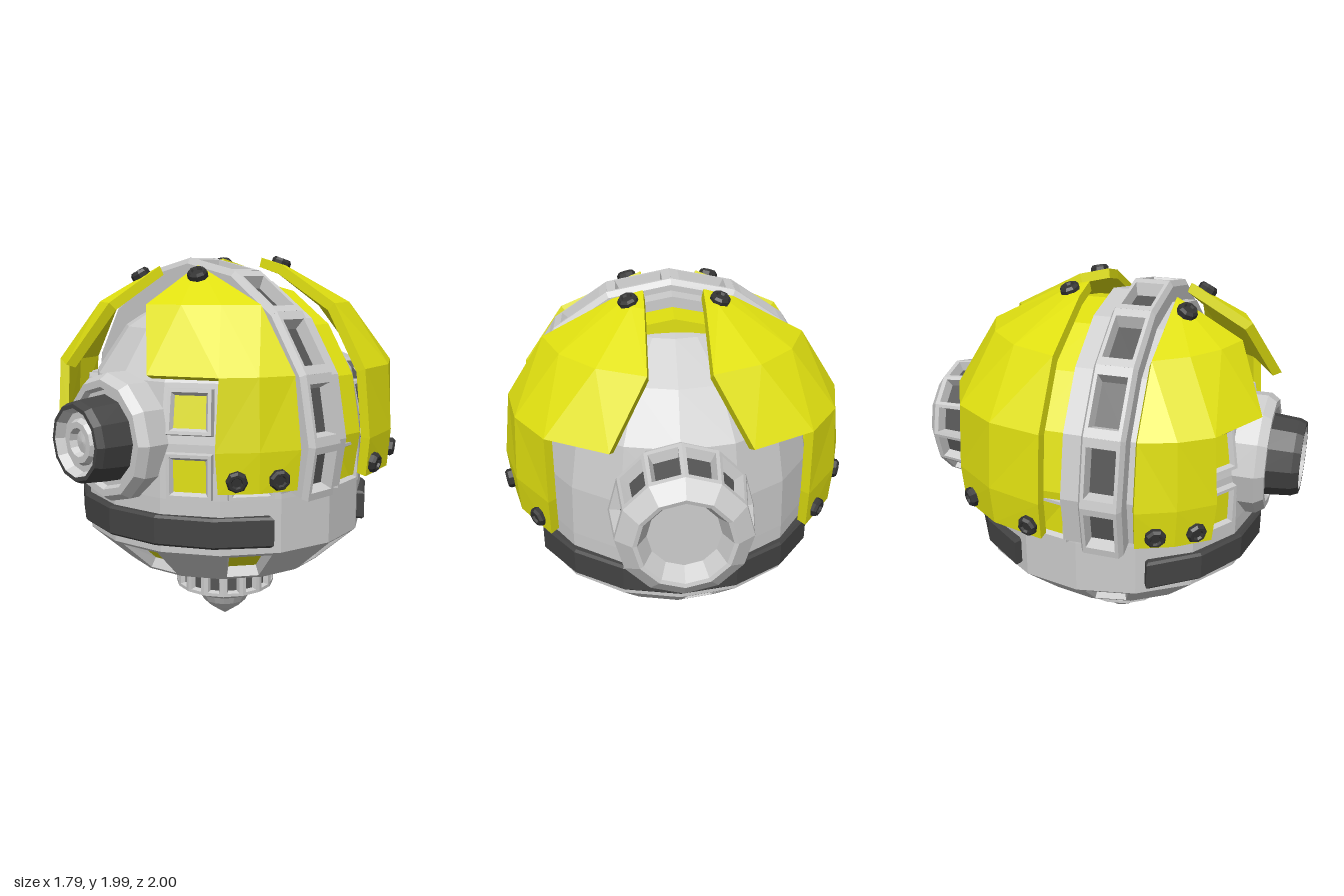
import * as THREE from 'three';

const mat = (color) => new THREE.MeshStandardMaterial({ color, flatShading: true });
const RAD = Math.PI / 180, CY = 1.12;

export function createModel() {
  const root = new THREE.Group();
  const grey = mat(0xcccccc), dark = mat(0x444444), slot = mat(0x555555), yellow = mat(0xe0e010), black = mat(0x333333);
  const model = new THREE.Group();
  model.name = 'pod';
  model.position.z = 0.035;
  root.add(model);

  function add(name, geo, material, parent = model) {
    const m = new THREE.Mesh(geo, material);
    m.name = name;
    parent.add(m);
    return m;
  }
  function group(name, y, rotX) {
    const g = new THREE.Group();
    g.name = name;
    g.position.y = y;
    g.rotation.x = rotX;
    model.add(g);
    return g;
  }
  const lathe = (pts, n) => new THREE.LatheGeometry(pts.map(p => new THREE.Vector2(...p)), n);
  // point at radius r, height y, angle a from +z towards +x
  const polar = (r, y, a) => new THREE.Vector3(r * Math.sin(a), y, r * Math.cos(a));
  const facet = (r0, y0, r1, y1, a0, a1) => [polar(r0, y0, a0), polar(r0, y0, a1), polar(r1, y1, a1), polar(r1, y1, a0)];

  function quadGeometry(quads) {
    const pos = [];
    for (const [a, b, c, d] of quads) for (const p of [a, b, c, a, c, d]) pos.push(p.x, p.y, p.z);
    const g = new THREE.BufferGeometry();
    g.setAttribute('position', new THREE.Float32BufferAttribute(pos, 3));
    g.computeVertexNormals();
    return g;
  }

  // Framed windows: each quad is inset through steps [insetU, insetV, height]; the last loop is the pane
  function windows(name, quads, steps, paneMat, parent) {
    const frame = [], panes = [];
    for (const [a, b, c, d] of quads) {
      const n = c.clone().sub(a).cross(d.clone().sub(b)).normalize();
      const at = (u, v, h) => a.clone().lerp(b, u).lerp(d.clone().lerp(c, u), v).addScaledVector(n, h);
      const loops = steps.map(([u, v, h]) => [at(u, v, h), at(1 - u, v, h), at(1 - u, 1 - v, h), at(u, 1 - v, h)]);
      for (let k = 0; k + 1 < loops.length; k++)
        for (let i = 0; i < 4; i++) {
          const j = (i + 1) % 4;
          frame.push([loops[k][i], loops[k][j], loops[k + 1][j], loops[k + 1][i]]);
        }
      panes.push(loops[loops.length - 1]);
    }
    add(name + 'Frames', quadGeometry(frame), grey, parent);
    add(name + 'Panes', quadGeometry(panes), paneMat, parent);
  }

  // Ring sector in the xy plane through the given angles (from +y), extruded along z
  function sector(rIn, rOut, angles, depth, bevel = 0) {
    const at = (r, a) => new THREE.Vector2(r * Math.sin(a), r * Math.cos(a));
    const shape = new THREE.Shape([...angles.map(a => at(rOut, a)), ...[...angles].reverse().map(a => at(rIn, a))]);
    return new THREE.ExtrudeGeometry(shape, {
      depth, bevelEnabled: bevel > 0, bevelThickness: bevel, bevelSize: bevel, bevelOffset: -bevel, bevelSegments: 1,
    });
  }

  // Body: domed top, windowed cone, shallow underside
  add('bodyShell', lathe([[0.745, 0.595], [0.745, 0.86], [0.735, 1.12], [0.682, 1.4], [0.523, 1.632], [0.282, 1.787], [0, 1.842]], 16), grey);
  add('bodyUnderside', lathe([[0, 0.36], [0.26, 0.363], [0.53, 0.4]], 16), grey);
  const step = 22.5 * RAD, open = [], plain = [];
  for (let i = 0; i < 16; i++)
    (i % 2 ? plain : open).push(facet(0.53, 0.4, 0.745, 0.595, i * step, (i + 1) * step));
  add('coneFacets', quadGeometry(plain), grey);
  windows('coneWindow', open, [[0, 0, 0], [0.12, 0.08, 0], [0.18, 0.14, -0.05]], yellow);

  // Raised windows on the upper body, two rows in front and a single row at the sides
  const upper = [];
  for (const deg of [33.75, 56.25, 101.25]) for (const s of [1, -1]) {
    const a0 = (s * deg - 9) * RAD, a1 = (s * deg + 9) * RAD;
    upper.push(facet(0.735, 0.86, 0.735, 1.085, a0, a1));
    if (deg < 90) upper.push(facet(0.735, 1.16, 0.695, 1.38, a0, a1));
  }
  windows('bodyWindow', upper, [[0, 0, -0.03], [0.03, 0.03, 0.03], [0.1, 0.1, 0.03], [0.16, 0.16, 0.008]], yellow);

  // Dark bumper bands, front and back
  const bandAngles = Array.from({ length: 7 }, (_, i) => (i - 3) * 21.3 * RAD);
  for (const s of [0, 1]) {
    const band = add(s ? 'backBand' : 'frontBand',
      sector(0.68, 0.778, bandAngles, 0.125, 0.012).rotateX(Math.PI / 2), dark);
    band.position.y = 0.77;
    band.rotation.y = s * Math.PI;
  }

  // Arches over the body: windowed main arch, its rims and a yellow strip
  const archAngles = [-107.5, -90, -67.5, -45, -22.5, 0, 22.5, 45, 67.5, 90, 107.5].map(a => a * RAD);
  const arch = (name, r, z0, z1, m) => { add(name, sector(0.55, r, archAngles, z1 - z0), m).position.set(0, CY, z0); };
  arch('archCore', 0.785, 0.048, 0.257, grey);
  arch('frontRim', 0.75, 0.25, 0.315, grey);
  arch('backRim', 0.798, -0.05, 0.045, grey);
  arch('yellowStrip', 0.745, -0.225, -0.045, yellow);
  const archWindows = [];
  for (let i = 0; i < 10; i++)
    archWindows.push(facet(0.78, 0.048, 0.78, 0.257, Math.PI + archAngles[i], Math.PI + archAngles[i + 1]));
  windows('archWindow', archWindows,
    [[0, 0, 0], [-0.03, 0, 0.045], [-0.05, 0.08, 0.073], [0.1, 0.16, 0.073], [0.16, 0.2, 0.012]], slot,
    group('archWindows', CY, Math.PI / 2));

  // Armour: four shell plates, each a dome with a leg down its outer side.
  // rows: [height, radius, inner x limit, bulge of the middle columns]; the first column exists only above the leg
  function plate(name, rows, zMin, sx, sz) {
    const LEG_TOP = 2, COLS = 3;
    const grid = scale => rows.map(([y, rho, xMin, bulge = 0], i) => {
      const a0 = Math.asin(xMin / rho), a1 = Math.acos(zMin / rho);
      const mid = i <= LEG_TOP ? Math.asin(0.625 / (rho + bulge)) : a0 + (a1 - a0) / 3;
      return [a0, mid, (mid + a1) / 2, a1].map((a, j) => {
        const r = rho + bulge * [0, 1, 0.7, 0][j];
        const p = polar(r, y, a).multiplyScalar(scale);
        return p.set(p.x * sx, p.y + CY, p.z * sz);
      });
    });
    const out = grid(1), inn = grid(0.945), quads = [];
    const has = (i, j) => i >= 0 && j >= 0 && i < rows.length - 1 && j < COLS && (j > 0 || i >= LEG_TOP);
    for (let i = 0; i < rows.length - 1; i++) for (let j = 0; j < COLS; j++) {
      if (!has(i, j)) continue;
      const c = [[i, j], [i, j + 1], [i + 1, j + 1], [i + 1, j]];
      const [a, b, d, e] = c.map(([r, k]) => inn[r][k]);
      quads.push(c.map(([r, k]) => out[r][k]), [a, e, d, b]);
      [[i - 1, j], [i, j + 1], [i + 1, j], [i, j - 1]].forEach((next, n) => {
        const [r, k] = c[n], [r2, k2] = c[(n + 1) % 4];
        if (!has(...next)) quads.push([out[r][k], inn[r][k], inn[r2][k2], out[r2][k2]]);
      });
    }
    // mirrored plates keep the same diagonals with the winding reversed
    const wound = sx * sz < 0 ? quads.map(([a, b, c, d]) => [a, d, c, b]) : quads;
    add(name, quadGeometry(wound), yellow);
  }

  // Bolt seated on the armour, pointing away from the body centre
  function bolt(x, y, z) {
    const b = add('bolt', lathe([[0.05, -0.03], [0.05, 0.012], [0.04, 0.025], [0.028, 0.025], [0.022, 0.014], [0, 0.014]], 8), black);
    b.position.set(x, y + CY, z);
    b.quaternion.setFromUnitVectors(new THREE.Vector3(0, 1, 0), new THREE.Vector3(x, y, z).normalize());
  }

  const lower = [[-0.19, 0.872, 0.62, 0.018], [0, 0.89, 0.62, 0.012], [0.33, 0.85, 0.325, 0.035], [0.635, 0.657, 0.147]];
  for (const sx of [1, -1]) for (const sz of [1, -1]) {
    const front = sz > 0, name = (front ? 'front' : 'back') + (sx > 0 ? 'Left' : 'Right') + 'Armour';
    const crown = front ? [[0.815, 0.35, 0.145]] : [[0.82, 0.32, 0.145], [0.858, 0.195, 0.145]];
    plate(name, [...lower, ...crown], front ? 0.315 : 0.125, sx, sz);
    if (front) bolt(sx * 0.22, 0.77, 0.385);
    else bolt(sx * 0.22, 0.83, -0.2);
    for (const [x, z] of front ? [[0.68, 0.57], [0.785, 0.405]] : [[0.685, 0.565], [0.86, 0.19]])
      bolt(sx * x, -0.13, sz * z);
  }

  // Front eye: stepped collar, dark barrel, inner lens rings
  const eye = group('frontEye', CY, Math.PI / 2);
  add('eyeCollar', lathe([[0.315, 0.62], [0.315, 0.765], [0.285, 0.81], [0.25, 0.81], [0.235, 0.785], [0.19, 0.785]], 12), grey, eye);
  add('eyeBarrel', lathe([[0.215, 0.77], [0.2, 0.93], [0.185, 0.965], [0.165, 0.965]], 12), dark, eye);
  add('eyeLens', lathe([[0.165, 0.965], [0.145, 0.92], [0.115, 0.92], [0.1, 0.945], [0.07, 0.945], [0.058, 0.91], [0, 0.92]], 12), grey, eye);

  // Rear thruster: slotted drum with a dished end
  const thruster = group('rearThruster', CY, -Math.PI / 2);
  add('thrusterBase', lathe([[0.3, 0.6], [0.32, 0.69], [0.345, 0.725]], 12), grey, thruster);
  add('thrusterDish', lathe([[0.315, 0.975], [0.235, 1.035], [0.215, 1.03], [0.17, 0.95], [0, 0.95]], 12), grey, thruster);
  const drum = [], neck = [];
  for (let i = 0; i < 12; i++) drum.push(facet(0.345, 0.725, 0.315, 0.975, i * 30 * RAD, (i + 1) * 30 * RAD));
  windows('thrusterSlot', drum, [[0, 0, 0], [0.1, 0.1, 0], [0.16, 0.14, -0.05]], slot, thruster);

  // Bottom neck with slots, and the pointed tip
  for (let i = 0; i < 16; i++) neck.push(facet(0.272, 0.2, 0.272, 0.37, i * step, (i + 1) * step));
  windows('neckSlot', neck, [[0, 0, 0], [0.19, 0.1, 0], [0.28, 0.15, -0.025]], slot);
  add('neckCone', lathe([[0, 0.14], [0.155, 0.145], [0.272, 0.2]], 16), grey);
  add('bottomTip', lathe([[0, 0], [0.085, 0.06], [0.125, 0.1], [0.157, 0.16]], 16), grey);

  return root;
}
